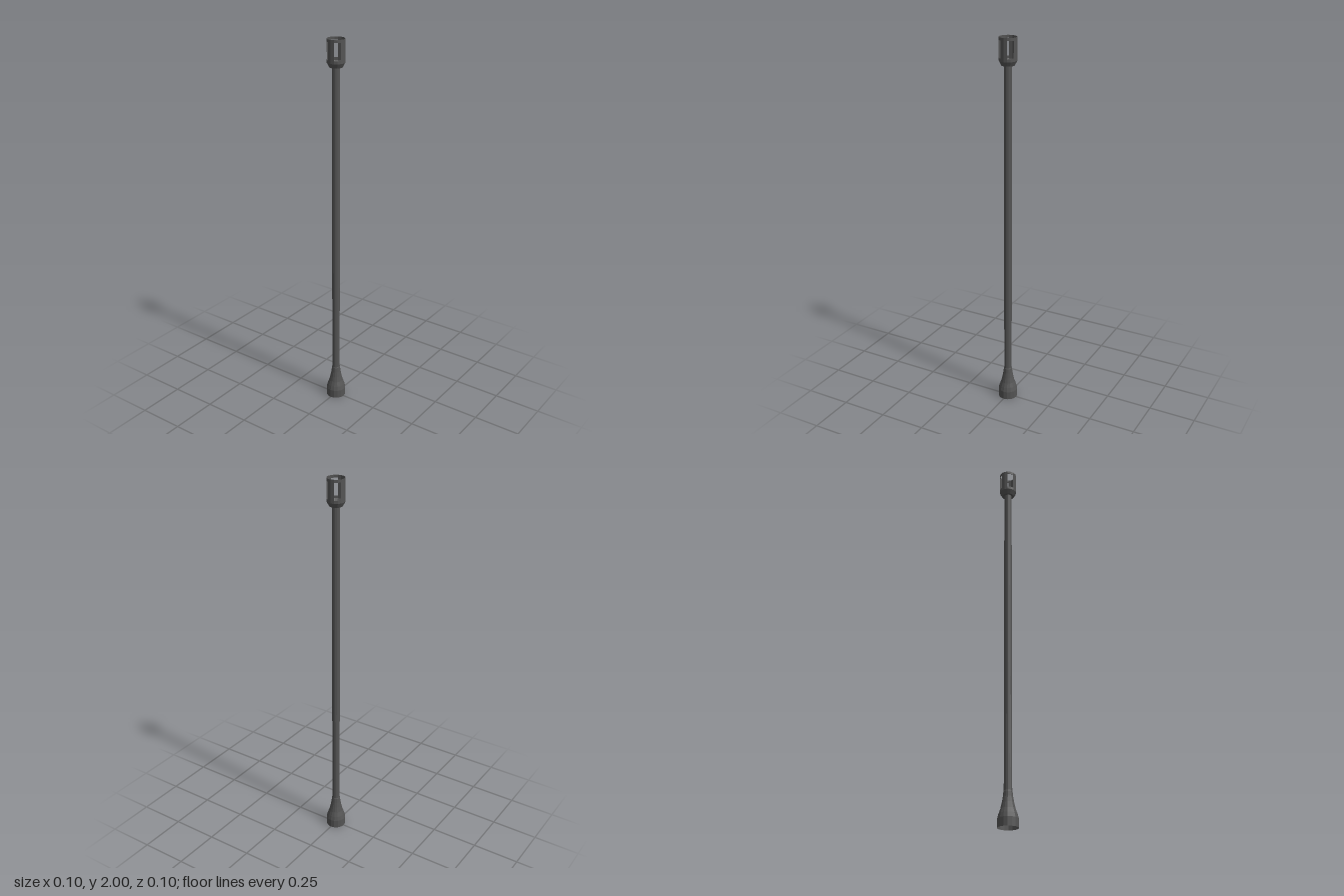
import * as THREE from 'three';

const SIDES = 16;

export function createModel() {
  const model = new THREE.Group();
  model.name = 'barrel';
  const gunmetal = new THREE.MeshStandardMaterial({ color: 0x545454, side: THREE.DoubleSide, flatShading: true });
  gunmetal.name = 'gunmetal';

  // Revolve [radius, height] pairs; start and span count facets around the axis
  function turned(name, profile, start = 0, span = SIDES) {
    const step = (Math.PI * 2) / SIDES;
    const points = profile.map(([r, y]) => new THREE.Vector2(r, y));
    const mesh = new THREE.Mesh(new THREE.LatheGeometry(points, span, start * step, span * step), gunmetal);
    mesh.name = name;
    model.add(mesh);
  }

  // Hollow flared base, open underneath
  turned('flaredBase', [
    [0.052, 0], [0.052, 0.045], [0.046, 0.068], [0.037, 0.092],
    [0.03, 0.122], [0.025, 0.15], [0.0225, 0.175], [0.0205, 0.18],
  ]);

  // Long open tube
  turned('tube', [[0.0205, 0.17], [0.0205, 1.868]]);

  // Muzzle cup: thin floor, flared wall and short collar
  turned('muzzleCup', [
    [0.0205, 1.868], [0.0205, 1.862], [0.033, 1.862], [0.0455, 1.885], [0.0455, 1.9],
    [0.0435, 1.9], [0.0435, 1.887], [0.032, 1.868], [0.0205, 1.868],
  ]);

  // Four posts around the open windows
  for (let i = 0; i < 4; i++) {
    turned('muzzlePost', [
      [0.0435, 1.898], [0.0455, 1.898], [0.0455, 1.988], [0.0435, 1.988], [0.0435, 1.898],
    ], i * 4 - 1, 2);
  }

  // Ring joining the post tops
  turned('muzzleRing', [
    [0.0435, 1.986], [0.0455, 1.986], [0.0455, 2], [0.0435, 2], [0.0435, 1.986],
  ]);

  return model;
}
